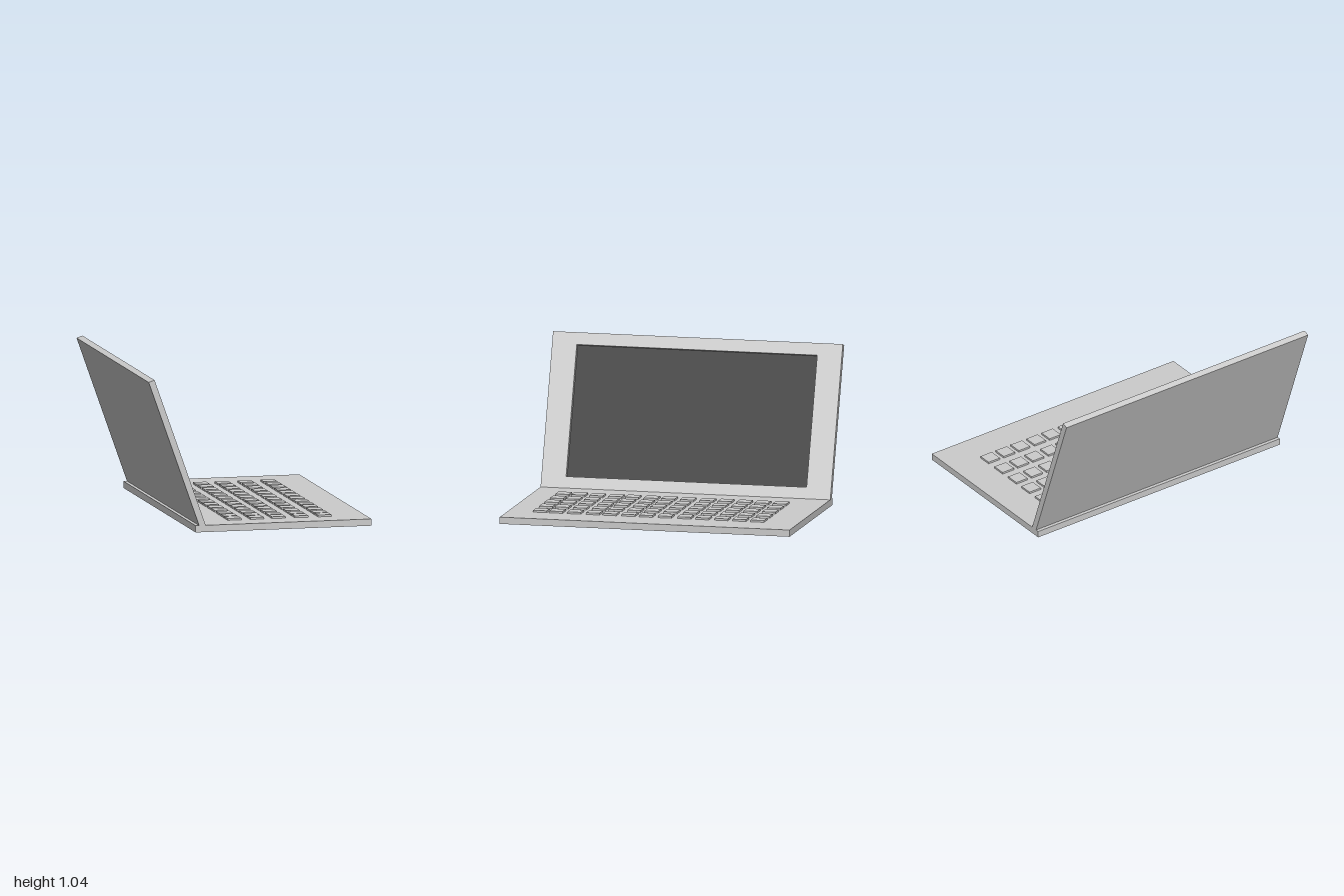
import * as THREE from 'three';

const grey = new THREE.MeshStandardMaterial({ color: 0xcccccc, flatShading: true });
const black = new THREE.MeshStandardMaterial({ color: 0x080808, flatShading: true });

function box(name, [w, h, d], [x, y, z], material = grey) {
  const mesh = new THREE.Mesh(new THREE.BoxGeometry(w, h, d), material);
  mesh.name = name;
  mesh.position.set(x, y, z);
  return mesh;
}

// Rectangle outline from two opposite corners
function rect(PathType, x0, y0, x1, y1) {
  return new PathType([[x0, y0], [x1, y0], [x1, y1], [x0, y1]].map(([x, y]) => new THREE.Vector2(x, y)));
}

export function createModel() {
  const laptop = new THREE.Group();
  laptop.name = 'laptop';

  // Flat base slab
  const baseTop = 0.046;
  laptop.add(box('base', [1.215, baseTop, 2], [0.1625, baseTop / 2, 0]));

  // Keyboard: five rows of thirteen square keys
  const keyboard = new THREE.Group();
  keyboard.name = 'keyboard';
  const rowX = [-0.133, 0.023, 0.173, 0.33, 0.49];
  const columnZ = [-0.72, -0.595, -0.47, -0.34, -0.215, -0.08, 0.05, 0.17, 0.3, 0.415, 0.545, 0.67, 0.78];
  for (const x of rowX) {
    for (const z of columnZ) keyboard.add(box('key', [0.093, 0.013, 0.093], [x, baseTop + 0.006, z]));
  }
  laptop.add(keyboard);

  // Lid, leaning back: local y runs up the lid, local x is its facing direction
  const lid = new THREE.Group();
  lid.name = 'lid';
  lid.position.set(-0.375, 0.045, 0);
  lid.rotation.z = THREE.MathUtils.degToRad(19.5);
  const bottom = -0.01, top = 1.06, recess = 0.032, plate = 0.0105;

  // Bezel with the screen opening
  const outline = rect(THREE.Shape, -1, bottom, 1, top);
  outline.holes.push(rect(THREE.Path, -0.83, 0.08, 0.83, 0.977));
  const bezelGeometry = new THREE.ExtrudeGeometry(outline, { depth: recess, bevelEnabled: false });
  bezelGeometry.rotateY(Math.PI / 2).translate(-recess, 0, 0);
  const bezel = new THREE.Mesh(bezelGeometry, grey);
  bezel.name = 'bezel';
  lid.add(bezel);

  // Back cover and the recessed display
  lid.add(box('backCover', [plate, top - bottom, 2], [-recess - plate / 2, (top + bottom) / 2, 0]));
  lid.add(box('screen', [0.002, 0.897, 1.66], [-recess + 0.001, 0.5285, 0], black));
  laptop.add(lid);

  return laptop;
}
